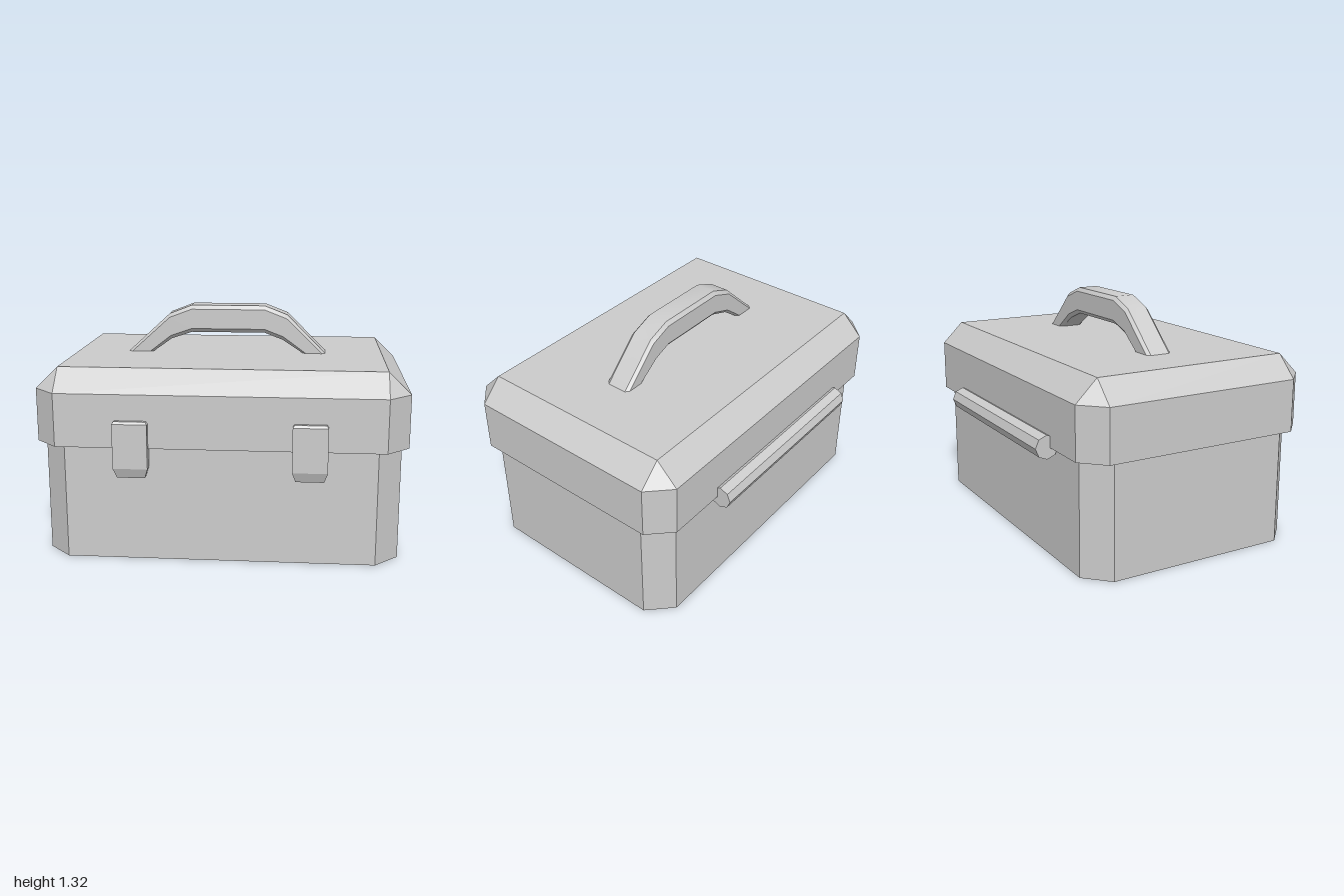
import * as THREE from 'three';
import { toCreasedNormals } from 'three/addons/utils/BufferGeometryUtils.js';

const material = new THREE.MeshStandardMaterial({ color: 0xcccccc, flatShading: true });
const smoothMaterial = new THREE.MeshStandardMaterial({ color: 0xcccccc });

// Skin a list of equal-length rings of [x, y, z] and cap both ends
function loft(rings) {
  const pos = [];
  const tri = (a, b, c) => pos.push(...a, ...b, ...c);
  const n = rings[0].length;
  for (let i = 0; i < rings.length - 1; i++) {
    for (let j = 0; j < n; j++) {
      const k = (j + 1) % n;
      tri(rings[i][j], rings[i][k], rings[i + 1][k]);
      tri(rings[i][j], rings[i + 1][k], rings[i + 1][j]);
    }
  }
  const first = rings[0], last = rings[rings.length - 1];
  for (let j = 1; j < n - 1; j++) {
    tri(first[0], first[j + 1], first[j]);
    tri(last[0], last[j], last[j + 1]);
  }
  const geometry = new THREE.BufferGeometry();
  geometry.setAttribute('position', new THREE.Float32BufferAttribute(pos, 3));
  geometry.computeVertexNormals();
  return geometry;
}

// Horizontal rectangle with its corners cut by c
function cutRect(y, hx, zBack, zFront, c) {
  return [
    [-hx + c, y, zFront], [hx - c, y, zFront],
    [hx, y, zFront - c], [hx, y, zBack + c],
    [hx - c, y, zBack], [-hx + c, y, zBack],
    [-hx, y, zBack + c], [-hx, y, zFront - c],
  ];
}

function addMesh(group, name, geometry, mat = material) {
  const mesh = new THREE.Mesh(geometry, mat);
  mesh.name = name;
  group.add(mesh);
  return mesh;
}

export function createModel() {
  const group = new THREE.Group();
  group.name = 'toolbox';

  // Box body with cut vertical corners
  addMesh(group, 'body', loft([
    cutRect(0, 0.965, -0.622, 0.67, 0.128),
    cutRect(0.625, 0.965, -0.622, 0.67, 0.128),
  ]));

  // Overhanging lid, bevelled up to a plain rectangular top
  addMesh(group, 'lid', loft([
    cutRect(0.635, 1, -0.663, 0.712, 0.122),
    cutRect(0.925, 1, -0.663, 0.712, 0.122),
    cutRect(1.045, 0.878, -0.541, 0.59, 0),
  ]));

  // Carrying handle: paired outer and inner arch points, bevelled section
  const outer = [[-0.585, 1.045], [-0.345, 1.265], [-0.215, 1.315], [0.205, 1.315], [0.335, 1.265], [0.555, 1.045]];
  const inner = [[-0.44, 1.045], [-0.335, 1.12], [-0.215, 1.16], [0.205, 1.16], [0.31, 1.12], [0.425, 1.045]];
  const section = [[1, -0.045], [1, 0.07], [0.86, 0.088], [0.14, 0.088],
    [0, 0.07], [0, -0.045], [0.14, -0.063], [0.86, -0.063]];
  const handleRings = outer.map(([ox, oy], i) => section.map(([t, z]) => [
    THREE.MathUtils.lerp(inner[i][0], ox, t),
    THREE.MathUtils.lerp(inner[i][1], oy, t),
    z,
  ]));
  addMesh(group, 'handle', toCreasedNormals(loft(handleRings), 0.5), smoothMaterial);

  // Two front latches with tapered lower ends
  const latch = loft([
    cutRect(0.475, 0.075, 0.685, 0.72, 0),
    cutRect(0.53, 0.093, 0.685, 0.743, 0),
    cutRect(0.772, 0.093, 0.685, 0.743, 0),
    cutRect(0.785, 0.084, 0.685, 0.733, 0),
  ]);
  for (const [name, x] of [['rightLatch', -0.469], ['leftLatch', 0.478]]) {
    addMesh(group, name, latch).position.x = x;
  }

  // Eight-sided hinge barrel along the back seam
  const hinge = new THREE.CylinderGeometry(0.065, 0.065, 1.145, 8);
  hinge.rotateZ(Math.PI / 2);
  addMesh(group, 'hinge', hinge).position.set(-0.032, 0.64, -0.68);

  return group;
}
